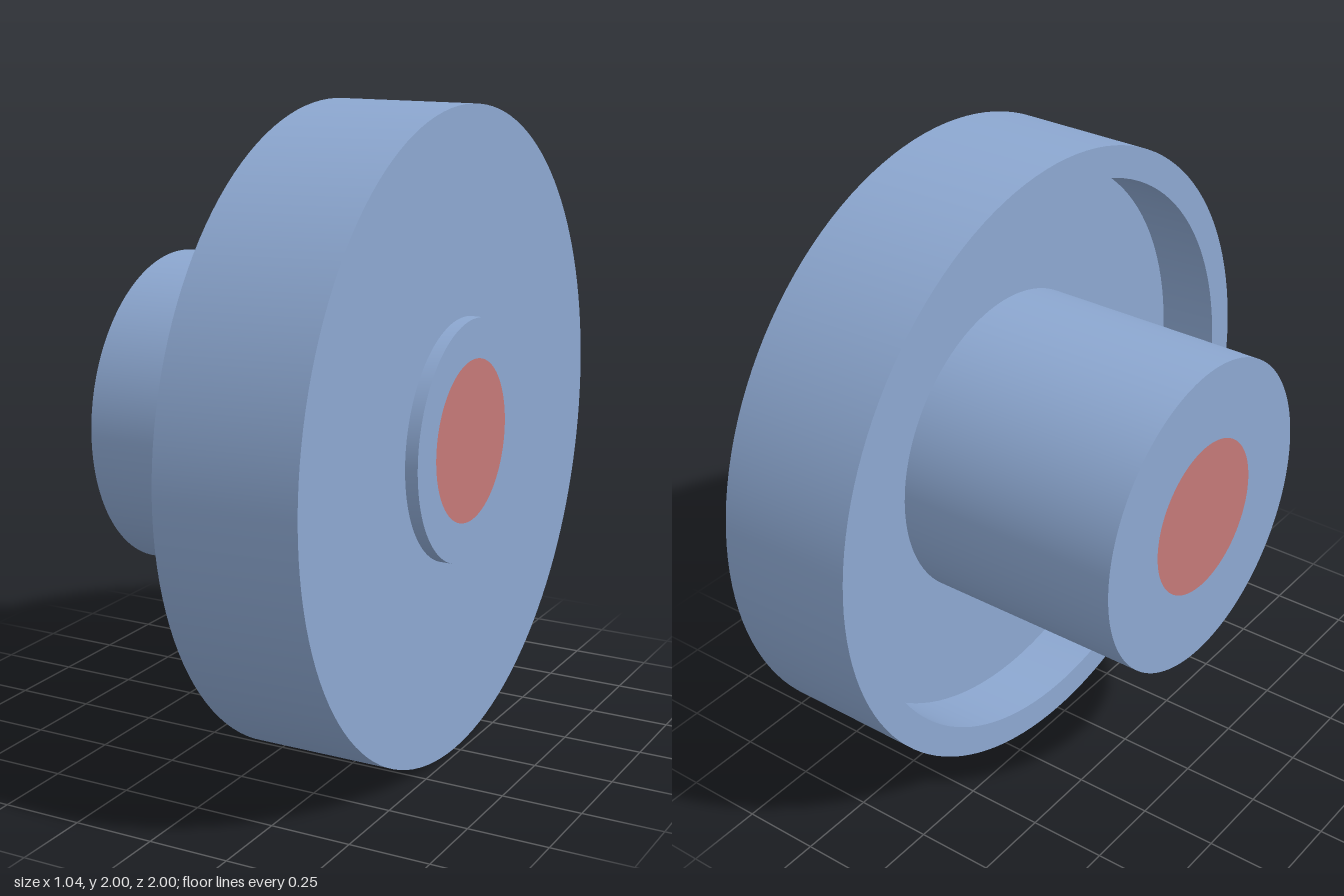
import * as THREE from 'three';
import { toCreasedNormals } from 'three/addons/utils/BufferGeometryUtils.js';

const SEGMENTS = 128;
const BORE = 0.25;   // radius of the red end faces
const BACK = -0.518; // free end of the hub
const FRONT = 0.518; // face of the raised boss

export function createModel() {
  const blue = new THREE.MeshStandardMaterial({ color: 0x8ca7d0 });
  blue.name = 'steel blue';
  const red = new THREE.MeshStandardMaterial({ color: 0xc47877 });
  red.name = 'dull red';

  const model = new THREE.Group();
  model.name = 'flangedHub';

  // Turned parts share one axis: local y becomes +x
  const axis = new THREE.Group();
  axis.name = 'turnedBody';
  axis.rotation.z = -Math.PI / 2;
  axis.position.y = 1;
  model.add(axis);

  const turned = (name, profile) => {
    const points = profile.map(([r, h]) => new THREE.Vector2(r, h));
    const geometry = toCreasedNormals(new THREE.LatheGeometry(points, SEGMENTS), 0.6);
    const mesh = new THREE.Mesh(geometry, blue);
    mesh.name = name;
    axis.add(mesh);
  };

  // Hub: end ring and cylinder, down to the floor of the recess
  turned('hub', [[BORE, BACK], [0.5, BACK], [0.5, 0.23]]);

  // Flange: recess floor, inner wall, rim, outer wall and front face
  turned('flange', [
    [0.5, 0.23], [0.9, 0.23], [0.9, 0.03], [1, 0.03], [1, 0.478], [0.373, 0.478],
  ]);

  // Low raised boss on the flange face
  turned('boss', [[0.373, 0.478], [0.373, FRONT], [BORE, FRONT]]);

  // Red discs flush with both ends
  for (const [name, height, turn] of [['frontDisc', FRONT, -1], ['backDisc', BACK, 1]]) {
    const disc = new THREE.Mesh(new THREE.CircleGeometry(BORE, SEGMENTS), red);
    disc.name = name;
    disc.rotation.x = turn * Math.PI / 2;
    disc.position.y = height;
    axis.add(disc);
  }

  return model;
}
